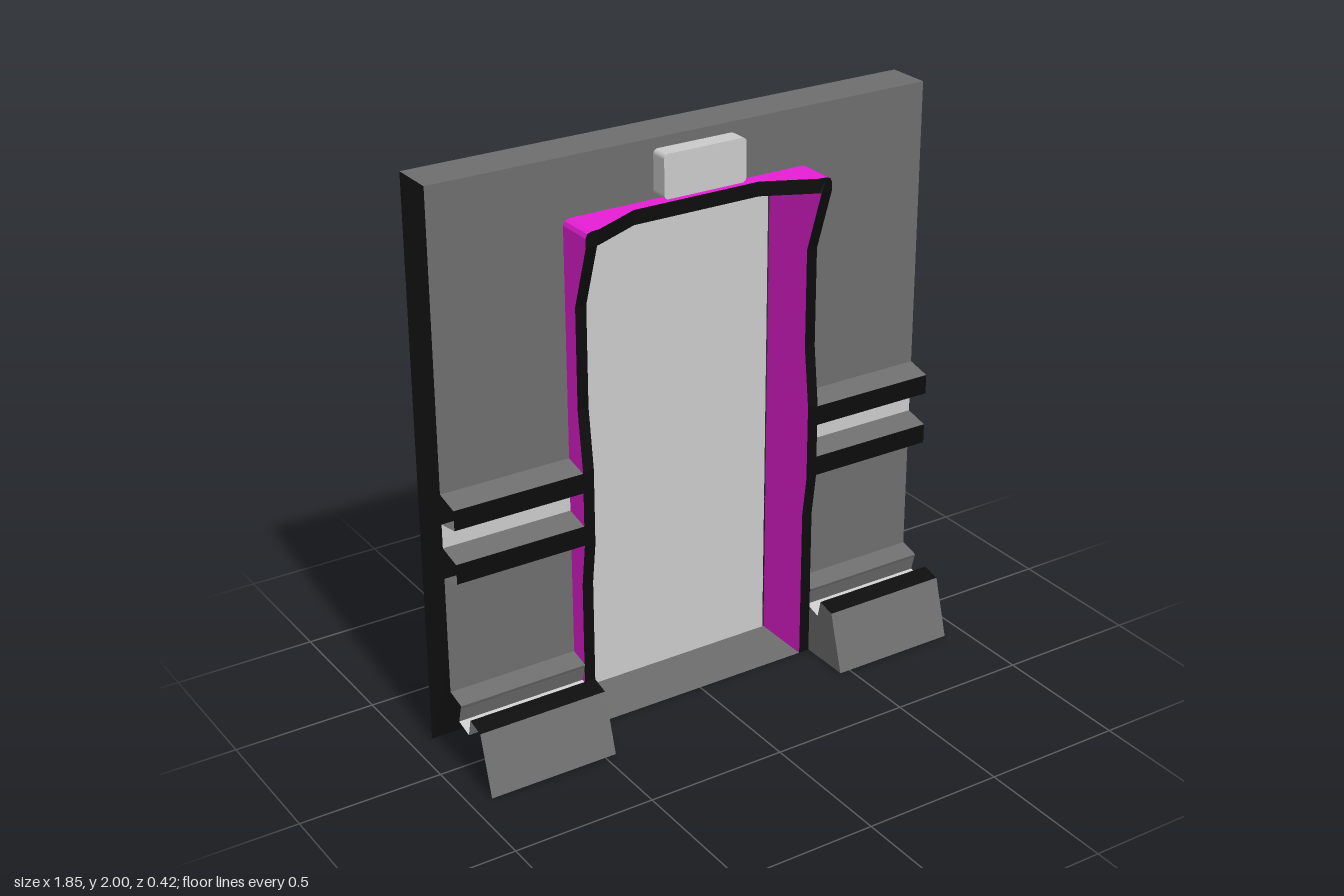
import * as THREE from 'three';

const mat = (color) => new THREE.MeshStandardMaterial({ color, side: THREE.DoubleSide, flatShading: true });

// Flat-shaded geometry from quads, each four [x, y, z] corners
function quads(list) {
  const pos = [];
  for (const [a, b, c, d] of list) pos.push(...a, ...b, ...c, ...a, ...c, ...d);
  const g = new THREE.BufferGeometry();
  g.setAttribute('position', new THREE.Float32BufferAttribute(pos, 3));
  g.computeVertexNormals();
  return g;
}

export function createModel() {
  const group = new THREE.Group();
  const wallGrey = mat(0x6e6e6e), black = mat(0x0c0c0c), light = mat(0xcccccc), magenta = mat(0xe81ed6);
  const add = (name, geo, material) => {
    const m = new THREE.Mesh(geo, material);
    m.name = name;
    group.add(m);
    return m;
  };

  const W = 0.925, FX = 0.46, DX = 0.42, H = 2, DOOR = 1.75, TOP = 1.8;
  const WALL = -0.047, BACK = -0.203;

  // Side wall sections: profile [z, y, material of the strip below the point]
  const profile = [
    [WALL, H, wallGrey], [WALL, 0.985, wallGrey],
    [0.04, 0.965, black], [0.04, 0.895, wallGrey],
    [WALL, 0.88, light], [WALL, 0.795, wallGrey],
    [0.04, 0.775, black], [0.04, 0.705, wallGrey],
    [WALL, 0.685, wallGrey], [WALL, 0.265, wallGrey],
    [0.025, 0.248, wallGrey], [0.02, 0.235, wallGrey],
    [0.005, 0.18, light], [0.07, 0.163, wallGrey],
    [0.085, 0.226, black], [0.15, 0.21, wallGrey], [0.212, 0, wallGrey],
  ];
  for (const [m, name] of [[wallGrey, 'wallSides'], [black, 'railFronts'], [light, 'lightStrips']]) {
    const list = [];
    for (let i = 0; i < profile.length - 1; i++) {
      const [z0, y0, pm] = profile[i], [z1, y1] = profile[i + 1];
      if (pm !== m) continue;
      for (const [a, b] of [[-W, -FX], [FX, W]])
        list.push([[a, y0, z0], [a, y1, z1], [b, y1, z1], [b, y0, z0]]);
    }
    add(name, quads(list), m);
  }

  // Wall above the doorway, its top and the threshold floor
  add('wallHeader', quads([[[-FX, H, WALL], [-FX, DOOR, WALL], [FX, DOOR, WALL], [FX, H, WALL]]]), wallGrey);
  add('wallTop', quads([[[-W, H, BACK], [-W, H, WALL], [W, H, WALL], [W, H, BACK]]]), wallGrey);
  add('threshold', quads([[[-DX, 0, BACK], [-DX, 0, 0.02], [DX, 0, 0.02], [DX, 0, BACK]]]), wallGrey);

  // Inner end caps of the kerbs
  const kerb = new THREE.Shape([[0.02, 0], [0.212, 0], [0.15, 0.21], [0.085, 0.226], [0.07, 0.163], [0.005, 0.18]]
    .map(([z, y]) => new THREE.Vector2(-z, y)));
  for (const s of [-1, 1]) {
    const cap = add(s > 0 ? 'kerbEndLeft' : 'kerbEndRight', new THREE.ShapeGeometry(kerb), wallGrey);
    cap.rotation.y = Math.PI / 2;
    cap.position.x = s * (FX + 0.001);
  }

  // Back panel with the doorway cut out
  const back = new THREE.Shape([[-W, 0], [-DX, 0], [-DX, DOOR], [DX, DOOR], [DX, 0], [W, 0], [W, H], [-W, H]]
    .map(([x, y]) => new THREE.Vector2(x, y)));
  const backGeo = new THREE.ShapeGeometry(back);
  backGeo.rotateY(Math.PI);
  add('backPanel', backGeo, black).position.z = BACK;

  // Door
  const door = add('door', new THREE.BoxGeometry(DX * 2 - 0.01, DOOR, 0.008), light);
  door.position.set(0, DOOR / 2, -0.207);

  // Door frame: half path of [outer x, outer y, inner x, inner y, front z], then mirrored
  const half = [[0, 0.02], [0.55, 0.02], [0.7, 0.04], [0.97, 0.04], [1.18, 0.015], [1.53, 0.015], [DOOR, 0.088]]
    .map(([y, z]) => [FX, y, DX, y, z]);
  half.push([FX, 1.78, DX, DOOR, 0.088], [0.454, 1.794, DX, DOOR, 0.088], [0.44, TOP, DX, DOOR, 0.088],
    [0.41, TOP, 0.41, DOOR, 0.085], [0.235, TOP, 0.235, DOOR, 0.002]);
  const path = [...half, ...half.map(([a, b, c, d, z]) => [-a, b, -c, d, z]).reverse()];
  const front = [], sides = [];
  for (let i = 0; i < path.length - 1; i++) {
    const [ax, ay, bx, by, z] = path[i], [cx, cy, dx, dy, w] = path[i + 1];
    front.push([[ax, ay, z], [cx, cy, w], [dx, dy, w], [bx, by, z]]);
    sides.push([[ax, ay, z], [ax, ay, WALL], [cx, cy, WALL], [cx, cy, w]]);
    if (bx !== dx || by !== dy) sides.push([[bx, by, BACK], [bx, by, z], [dx, dy, w], [dx, dy, BACK]]);
  }
  add('frameFront', quads(front), black);
  add('frameSides', quads(sides), magenta);

  // Rounded sign plate over the door
  const w = 0.153, h = 0.074, r = 0.016;
  const plate = new THREE.Shape();
  plate.absarc(w - r, h - r, r, 0, Math.PI / 2);
  plate.absarc(-w + r, h - r, r, Math.PI / 2, Math.PI);
  plate.absarc(-w + r, -h + r, r, Math.PI, Math.PI * 1.5);
  plate.absarc(w - r, -h + r, r, Math.PI * 1.5, Math.PI * 2);
  const sign = add('signPlate', new THREE.ExtrudeGeometry(plate, { depth: 0.063, bevelEnabled: false, curveSegments: 3 }), light);
  sign.position.set(0.003, 1.902, -0.018);

  return group;
}
